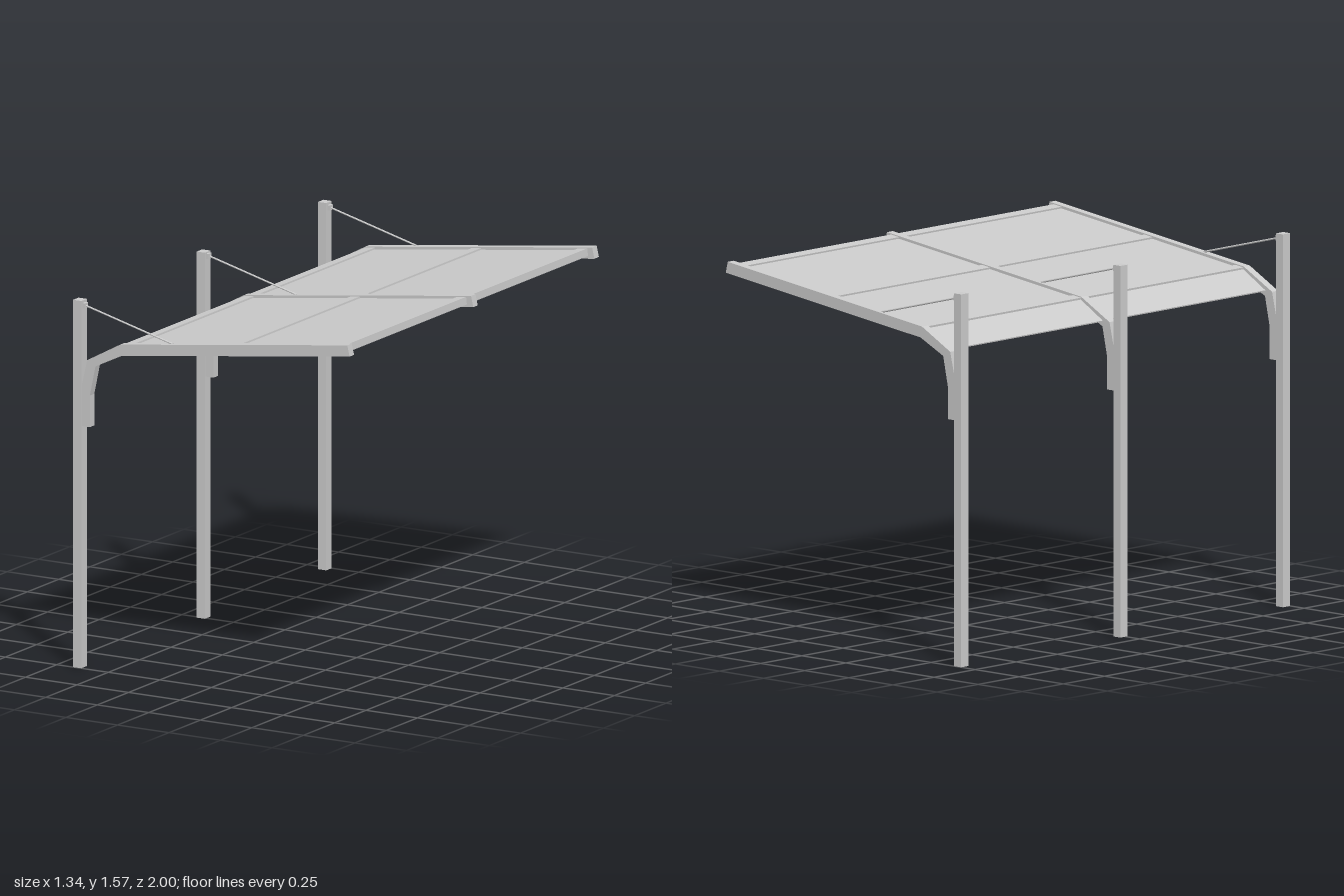
import * as THREE from 'three';

const material = new THREE.MeshStandardMaterial({ color: 0xcccccc, flatShading: true });
const frameZ = [-0.978, -0.01, 0.978];
const slope = Math.atan2(0.14, 1.105);

function addMesh(parent, name, geometry, x = 0, y = 0, z = 0) {
  const mesh = new THREE.Mesh(geometry, material);
  mesh.name = name;
  mesh.position.set(x, y, z);
  parent.add(mesh);
  return mesh;
}

// Extrude an x-y outline along z, centred on z = 0
function extrude(points, depth) {
  const shape = new THREE.Shape(points.map(([x, y]) => new THREE.Vector2(x, y)));
  return new THREE.ExtrudeGeometry(shape, { depth, bevelEnabled: false }).translate(0, 0, -depth / 2);
}

// Height of the straight beam's underside
const undersideY = (x) => 1.36 + (x + 0.437) * Math.tan(slope);

// Post, bent rafter and tie rod
function createFrame(z, index) {
  const frame = new THREE.Group();
  frame.name = 'frame' + (index + 1);
  frame.position.z = z;
  const height = index === 1 ? 1.565 : 1.57;
  addMesh(frame, 'post', new THREE.BoxGeometry(0.04, height, 0.044), -0.651, height / 2, 0);

  addMesh(frame, 'rafter', extrude([
    [-0.632, 1.035], [-0.592, 1.035], [-0.592, 1.17], [-0.565, 1.298], [-0.437, 1.36],
    [0.668, 1.5], [0.657, 1.547], [-0.445, 1.407], [-0.605, 1.32], [-0.632, 1.205],
  ], 0.036));

  const start = new THREE.Vector3(-0.622, 1.547, 0);
  const end = new THREE.Vector3(-0.2, 1.437, 0);
  const direction = end.clone().sub(start);
  const rod = addMesh(frame, 'tieRod', new THREE.CylinderGeometry(0.004, 0.004, direction.length(), 8));
  rod.position.copy(start).add(end).multiplyScalar(0.5);
  rod.quaternion.setFromUnitVectors(new THREE.Vector3(0, 1, 0), direction.normalize());
  addMesh(frame, 'rodBracket', new THREE.BoxGeometry(0.014, 0.022, 0.024), -0.626, 1.548, 0);
  return frame;
}

// Roof sheet and purlins filling the gap between two rafters
function createBay(z0, z1, index) {
  const bay = new THREE.Group();
  bay.name = 'roofBay' + (index + 1);
  bay.position.z = (z0 + z1) / 2;
  const width = z1 - z0 - 0.034;

  const profile = [[-0.566, 1.317], [-0.44, 1.391], [0.61, undersideY(0.61) + 0.032]];
  const upper = profile.map(([x, y]) => [x - 0.001, y + 0.005]).reverse();
  addMesh(bay, 'roofSheet', extrude([...profile, ...upper], width));

  for (const x of [-0.419, 0.097, 0.613]) {
    const purlin = addMesh(bay, 'purlin', new THREE.BoxGeometry(0.045, 0.032, width), x, undersideY(x) + 0.028, 0);
    purlin.rotation.z = slope;
  }
  return bay;
}

export function createModel() {
  const model = new THREE.Group();
  model.name = 'canopy';
  frameZ.forEach((z, i) => model.add(createFrame(z, i)));
  for (let i = 0; i < 2; i++) model.add(createBay(frameZ[i], frameZ[i + 1], i));
  return model;
}
